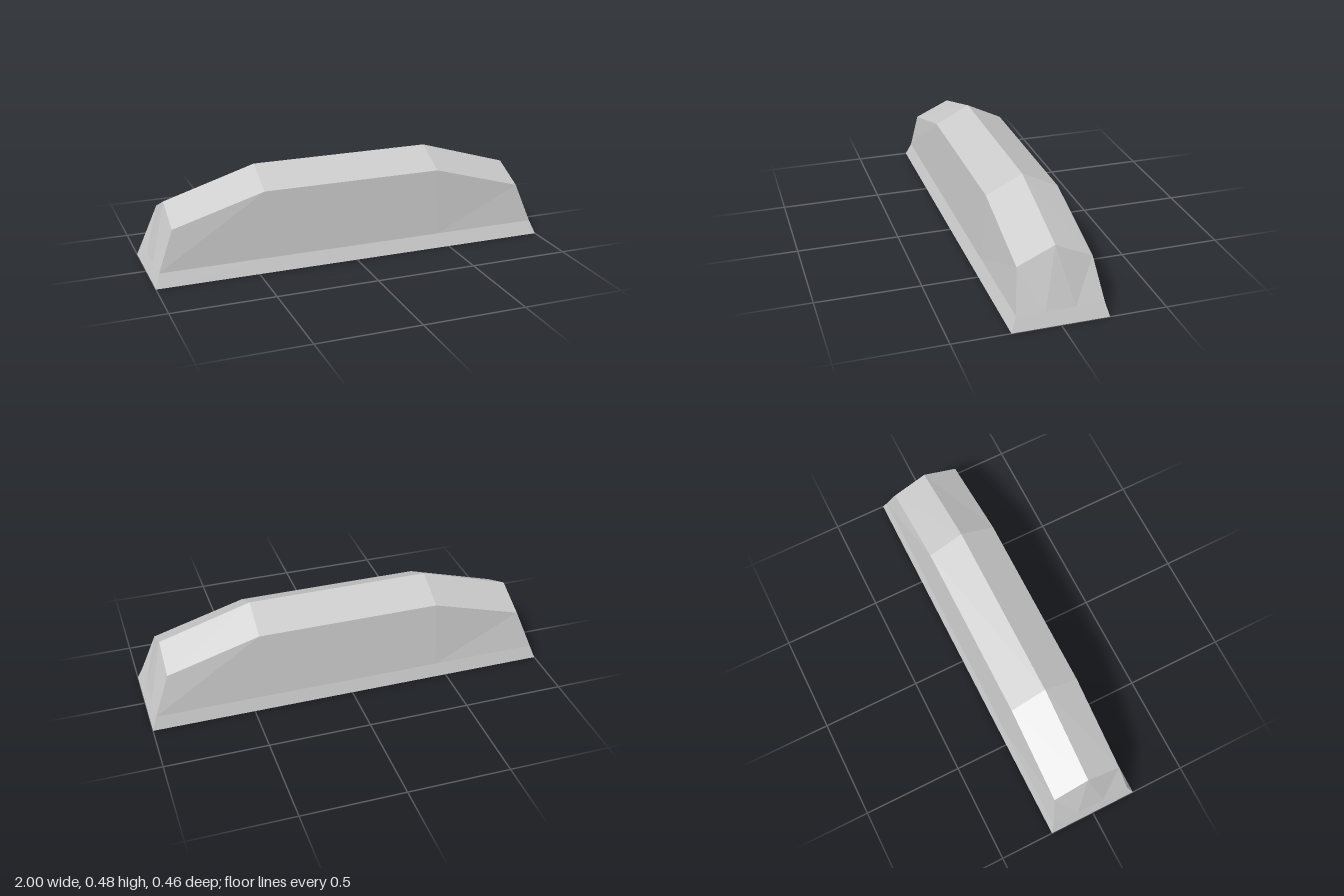
import * as THREE from 'three';

const WALL = 0.03;

// Seven-point arch from front base over the ridge to back base.
function section(side, isEnd, t) {
  const at = (x, y, z) => new THREE.Vector3(side * x, y, z);
  const xs = isEnd ? [1 - t, 0.976 - t, 0.9 - t] : [0.45, 0.45, 0.45 - t * 0.25];
  const shoulder = (isEnd ? 0.263 : 0.394) - t * 0.7;
  const ridge = (isEnd ? 0.343 : 0.48) - t;
  return [
    at(xs[0], 0, 0.228 - t),
    at(xs[1], 0.066, 0.2 - t),
    at(xs[2], shoulder, 0.175 - t),
    at(xs[2], ridge, 0),
    at(xs[2], shoulder, -0.175 + t),
    at(xs[1], 0.066, -0.21 + t),
    at(xs[0], 0, -0.228 + t),
  ];
}

const sections = (t) => [[-1, true], [-1, false], [1, false], [1, true]].map(([s, e]) => section(s, e, t));

// Collects triangles; flip reverses the facing.
function builder() {
  const points = [];
  const tri = (a, b, c, flip) => points.push(a, ...(flip ? [c, b] : [b, c]));
  const quad = (a, b, c, d, flip) => { tri(a, b, c, flip); tri(a, c, d, flip); };
  const mesh = (name) => {
    const geometry = new THREE.BufferGeometry().setFromPoints(points);
    geometry.computeVertexNormals();
    const m = new THREE.Mesh(geometry, new THREE.MeshStandardMaterial({ color: 0xcccccc, flatShading: true }));
    m.name = name;
    return m;
  };
  return { tri, quad, mesh };
}

function shell(name, t, inward) {
  const b = builder();
  const rows = sections(t);
  // Long walls and roof
  for (let i = 0; i < 3; i++) {
    for (let j = 0; j < 6; j++) {
      b.quad(rows[i][j], rows[i + 1][j], rows[i + 1][j + 1], rows[i][j + 1], inward);
    }
  }
  // Faceted ends
  for (const [row, left] of [[rows[0], false], [rows[3], true]]) {
    const flip = left === inward;
    const [baseF, skirtF, shoulderF, ridge, shoulderB, skirtB, baseB] = row;
    const midF = skirtF.clone().lerp(skirtB, 0.33);
    const midB = skirtF.clone().lerp(skirtB, 0.67);
    b.quad(baseF, baseB, skirtB, skirtF, flip);
    b.tri(skirtF, midF, shoulderF, flip);
    b.tri(midF, ridge, shoulderF, flip);
    b.tri(midF, midB, ridge, flip);
    b.tri(midB, shoulderB, ridge, flip);
    b.tri(midB, skirtB, shoulderB, flip);
  }
  return b.mesh(name);
}

// Flat underside edge joining the two shells
function bottomRim() {
  const b = builder();
  const corners = (t) => {
    const r = sections(t);
    return [r[0][0], r[3][0], r[3][6], r[0][6]];
  };
  const outer = corners(0), inner = corners(WALL);
  for (let i = 0; i < 4; i++) {
    const k = (i + 1) % 4;
    b.quad(inner[i], inner[k], outer[k], outer[i], false);
  }
  return b.mesh('bottomRim');
}

export function createModel() {
  const group = new THREE.Group();
  group.name = 'hollowCover';
  group.add(shell('outerShell', 0, false), shell('innerShell', WALL, true), bottomRim());
  return group;
}
